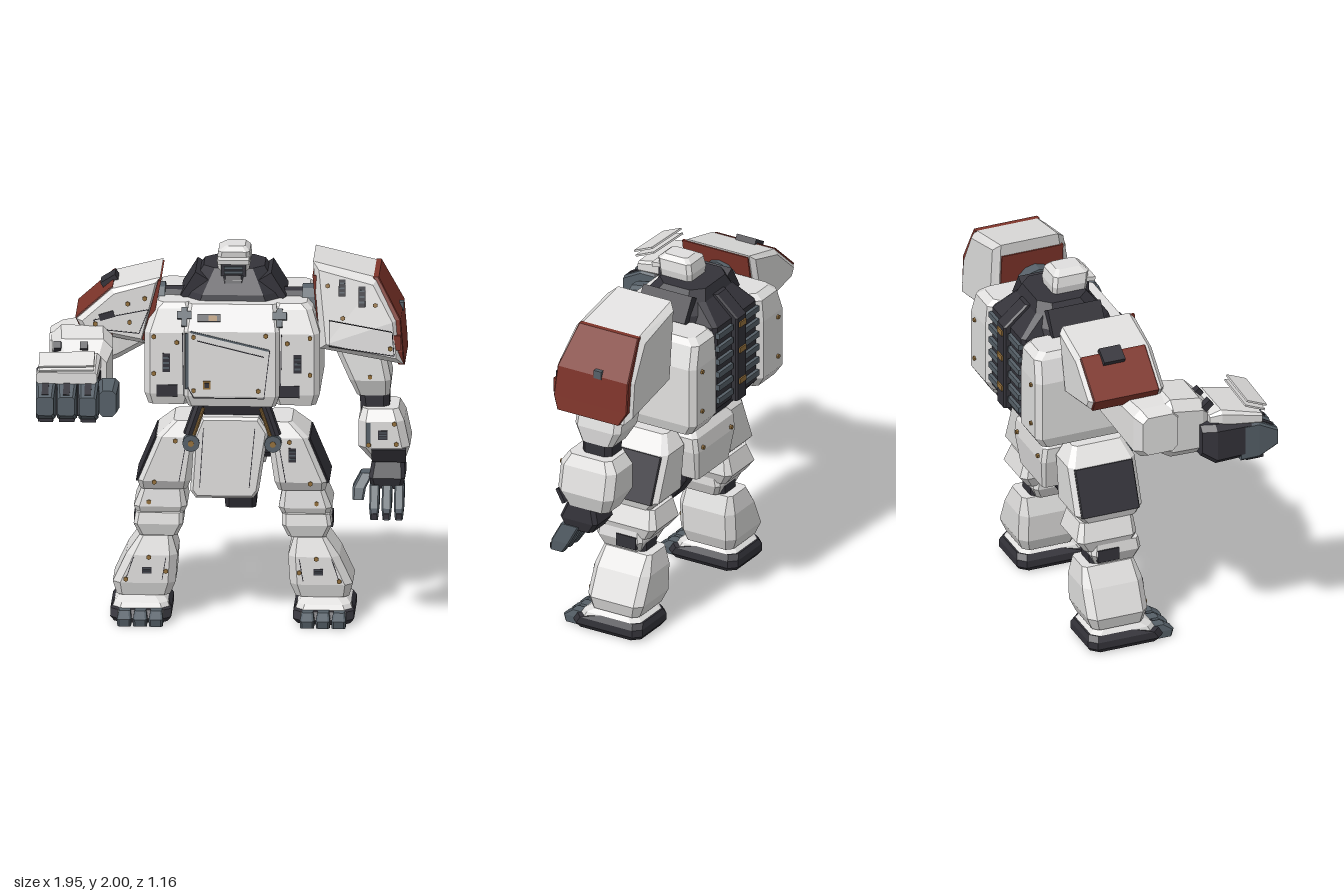
import * as THREE from 'three';

const mat = (name, color) => Object.assign(new THREE.MeshStandardMaterial({ color }), { name });
const white = mat('off white armour', 0xe0dfde), dark = mat('dark frame', 0x34333a);
const steel = mat('blue grey steel', 0x566068), red = mat('brick red', 0x7e342a), gold = mat('brass', 0x94703c);

function add(parent, name, geo, material) {
  const g = geo.index ? geo.toNonIndexed() : geo;
  g.computeVertexNormals(); // faceted look
  const m = new THREE.Mesh(g, material);
  m.name = name;
  parent.add(m);
  return m;
}

// Chamfered box sections [t, a0, a1, b0, b1, chamfer] joined along an axis.
// y: a = x, b = z;  z: a = x, b = y;  x: a = y, b = z.  s = -1 mirrors x on the y axis.
function loft(parent, name, material, axis, secs, s = 1) {
  const pos = [], idx = [], n = 8;
  for (const [t, p, q, r, u, c] of secs) {
    const a0 = Math.min(p * s, q * s), a1 = Math.max(p * s, q * s), b0 = Math.min(r, u), b1 = Math.max(r, u);
    const loop = [[a0 + c, b0], [a1 - c, b0], [a1, b0 + c], [a1, b1 - c], [a1 - c, b1], [a0 + c, b1], [a0, b1 - c], [a0, b0 + c]];
    for (const [a, b] of loop) pos.push(...(axis === 'y' ? [a, t, b] : axis === 'z' ? [a, b, t] : [t, a, b]));
  }
  const flip = axis === 'y', tri = (a, b, c) => (flip ? idx.push(a, c, b) : idx.push(a, b, c));
  for (let k = 0; k < secs.length - 1; k++) for (let i = 0; i < n; i++) {
    const a = k * n + i, b = k * n + (i + 1) % n;
    tri(a, b, b + n); tri(a, b + n, a + n);
  }
  const top = (secs.length - 1) * n;
  for (let i = 1; i < n - 1; i++) { tri(0, i + 1, i); tri(top, top + i, top + i + 1); }
  const g = new THREE.BufferGeometry();
  g.setAttribute('position', new THREE.Float32BufferAttribute(pos, 3));
  g.setIndex(idx);
  return add(parent, name, g, material);
}

// Front outline pushed from z0 to z1 with a bevelled rim; above leanY the front leans back
function prism(parent, name, material, pts, z0, z1, b = 0.02, leanY = Infinity) {
  const g = new THREE.ExtrudeGeometry(new THREE.Shape(pts.map(p => new THREE.Vector2(...p))), {
    depth: z1 - z0 - 2 * b, bevelEnabled: b > 0, bevelSize: b, bevelOffset: -b, bevelThickness: b, bevelSegments: 1,
  }).translate(0, 0, z0 + b);
  const p = g.attributes.position, mid = (z0 + z1) / 2;
  for (let i = 0; i < p.count; i++)
    if (p.getZ(i) > mid && p.getY(i) > leanY) p.setZ(i, p.getZ(i) - 0.25 * (p.getY(i) - leanY));
  return add(parent, name, g, material);
}

function box(parent, name, material, x, y, z, w, h, d, rot = [0, 0, 0]) {
  const m = add(parent, name, new THREE.BoxGeometry(w, h, d), material);
  m.position.set(x, y, z);
  m.rotation.set(...rot);
  return m;
}

function rod(parent, name, material, a, b, r, sides = 8) {
  const A = new THREE.Vector3(...a), B = new THREE.Vector3(...b), d = B.clone().sub(A);
  const m = add(parent, name, new THREE.CylinderGeometry(r, r, d.length(), sides), material);
  m.position.copy(A.add(B).multiplyScalar(0.5));
  m.quaternion.setFromUnitVectors(new THREE.Vector3(0, 1, 0), d.normalize());
}

const bolts = (p, z, list) => list.forEach(([x, y]) => rod(p, 'bolt', gold, [x, y, z - 0.01], [x, y, z + 0.008], 0.013, 6));
const seams = (p, z, pts) => pts.slice(1).forEach(([x, y], i) => {
  const [a, b] = pts[i];
  box(p, 'panelSeam', dark, (a + x) / 2, (b + y) / 2, z, Math.hypot(x - a, y - b), 0.004, 0.005, [0, 0, Math.atan2(y - b, x - a)]);
});
function vent(p, x, y, z, w, h) {
  box(p, 'vent', dark, x, y, z, w, h, 0.008);
  for (let i = -1; i <= 1; i++) box(p, 'ventSlat', steel, x, y + i * h * 0.27, z + 0.005, w * 0.8, h * 0.09, 0.006);
}

function buildTorso(p) {
  loft(p, 'chest', white, 'y', [[1.19, -0.23, 0.23, -0.4, 0.09, 0.02], [1.25, -0.25, 0.25, -0.4, 0.11, 0.02], [1.6, -0.25, 0.25, -0.4, 0.11, 0.02], [1.73, -0.23, 0.23, -0.4, 0.03, 0.02]]);
  seams(p, 0.112, [[-0.22, 1.6], [0.2, 1.5], [0.17, 1.24], [-0.2, 1.24], [-0.23, 1.3]]);
  seams(p, 0.112, [[-0.18, 1.55], [0.17, 1.465]]);
  box(p, 'chestFlapEdge', steel, -0.235, 1.44, 0.108, 0.018, 0.3, 0.012);
  box(p, 'chestFlapLip', steel, -0.01, 1.55, 0.111, 0.42, 0.01, 0.008, [0, 0, -0.233]);
  box(p, 'chestLamp', dark, -0.12, 1.665, 0.073, 0.12, 0.04, 0.012, [-0.55, 0, 0]);
  box(p, 'chestLampCore', gold, -0.1, 1.665, 0.08, 0.045, 0.028, 0.008, [-0.55, 0, 0]);
  box(p, 'chestPort', gold, -0.13, 1.31, 0.112, 0.04, 0.045, 0.008);
  box(p, 'chestPortCore', dark, -0.13, 1.31, 0.117, 0.025, 0.025, 0.008);
  bolts(p, 0.11, [[-0.2, 1.57], [0.18, 1.58], [0.14, 1.28], [-0.2, 1.28]]);
  for (const s of [-1, 1]) {
    loft(p, 'sidePod', white, 'y', [[1.19, 0.23, 0.44, -0.53, 0.05, 0.025], [1.25, 0.21, 0.46, -0.57, 0.07, 0.03], [1.58, 0.21, 0.46, -0.57, 0.07, 0.03], [1.7, 0.21, 0.42, -0.56, 0.02, 0.03], [1.73, 0.22, 0.39, -0.52, 0, 0.03]], s);
    seams(p, 0.071, [[s * 0.26, 1.58], [s * 0.255, 1.24]]);
    vent(p, s * 0.345, 1.42, 0.073, 0.04, 0.1);
    box(p, 'lowerIntake', dark, s < 0 ? -0.34 : 0.3, 1.268, 0.07, 0.11, 0.065, 0.012);
    bolts(p, 0.07, [[s * 0.41, 1.56], [s * 0.41, 1.36], [s * 0.29, 1.53]]);
    bolts(p, -0.57, [[s * 0.38, 1.55], [s * 0.38, 1.32]]);
    box(p, 'latch', steel, s * 0.25, 1.665, 0.058, 0.03, 0.1, 0.035, [-0.4, 0, 0]);
    box(p, 'latchHead', steel, s * 0.25, 1.675, 0.058, 0.075, 0.04, 0.035, [-0.4, 0, 0]);
    rod(p, 'shoulderJoint', dark, [s * 0.2, 1.68, -0.21], [s * 0.48, 1.68, -0.21], 0.085, 12);
    rod(p, 'shoulderRing', steel, [s * 0.36, 1.68, -0.21], [s * 0.45, 1.68, -0.21], 0.105, 12);
    box(p, 'collarBlock', dark, s * 0.2, 1.78, -0.25, 0.09, 0.15, 0.3, [0, 0, s * 0.55]);
  }
  // back: frame, cooling ribs and spine
  loft(p, 'backFrame', dark, 'y', [[1.1, -0.15, 0.15, -0.42, -0.2, 0.03], [1.25, -0.22, 0.22, -0.55, -0.2, 0.02], [1.72, -0.21, 0.21, -0.55, -0.2, 0.02], [1.82, -0.16, 0.16, -0.44, -0.2, 0.03]]);
  for (let i = 0; i < 6; i++) for (const s of [-1, 1])
    box(p, 'coolingRib', steel, s * 0.13, 1.3 + i * 0.075, -0.556, 0.14, 0.032, 0.025);
  loft(p, 'spine', dark, 'y', [[1.24, -0.05, 0.05, -0.585, -0.5, 0.01], [1.72, -0.05, 0.05, -0.585, -0.5, 0.01], [1.83, -0.05, 0.05, -0.46, -0.3, 0.01]]);
  for (const y of [1.35, 1.53, 1.68]) box(p, 'spineMark', gold, 0, y, -0.587, 0.06, 0.03, 0.012);
  loft(p, 'collar', dark, 'y', [[1.68, -0.25, 0.25, -0.46, -0.02, 0.06], [1.76, -0.24, 0.24, -0.46, -0.04, 0.08], [1.88, -0.16, 0.16, -0.42, -0.14, 0.06]]);
}

function buildHead(p) {
  loft(p, 'neck', dark, 'y', [[1.76, -0.07, 0.07, -0.28, -0.06, 0.02], [1.85, -0.06, 0.06, -0.28, -0.1, 0.02]]);
  loft(p, 'helmet', white, 'y', [[1.82, -0.07, 0.07, -0.31, -0.13, 0.015], [1.92, -0.09, 0.09, -0.32, -0.12, 0.02], [1.975, -0.08, 0.085, -0.31, -0.11, 0.02], [2, -0.04, 0.06, -0.28, -0.14, 0.015]]);
  box(p, 'faceRecess', dark, 0, 1.87, -0.125, 0.13, 0.09, 0.03);
  box(p, 'brow', white, 0, 1.93, -0.105, 0.165, 0.025, 0.05, [0.15, 0, 0]);
  for (const y of [1.84, 1.865, 1.89]) box(p, 'faceSlat', steel, 0, y, -0.112, 0.1, 0.014, 0.02);
  box(p, 'chin', white, 0, 1.818, -0.11, 0.09, 0.022, 0.04);
}

function buildHips(p) {
  loft(p, 'waist', dark, 'y', [[0.95, -0.14, 0.14, -0.36, -0.04, 0.04], [1.1, -0.17, 0.17, -0.38, -0.01, 0.04], [1.2, -0.23, 0.23, -0.44, 0.03, 0.04]]);
  prism(p, 'frontSkirt', white, [[-0.16, 1.12], [0.14, 1.12], [0.19, 1.04], [0.14, 0.72], [0.11, 0.68], [-0.19, 0.68], [-0.22, 0.72], [-0.2, 1.02]], -0.02, 0.06, 0.015);
  seams(p, 0.061, [[-0.15, 1.06], [-0.17, 0.74]]);
  seams(p, 0.061, [[0.12, 1.06], [0.09, 0.74]]);
  loft(p, 'rearSkirt', white, 'y', [[0.78, -0.16, 0.16, -0.41, -0.3, 0.015], [0.95, -0.2, 0.2, -0.43, -0.25, 0.02], [1.03, -0.2, 0.2, -0.42, -0.25, 0.02], [1.07, -0.17, 0.17, -0.39, -0.25, 0.02]]);
  bolts(p, -0.43, [[-0.14, 0.97], [0.14, 0.97]]);
  loft(p, 'hipKeel', dark, 'y', [[0.6, -0.04, 0.12, -0.22, -0.06, 0.02], [0.72, -0.05, 0.13, -0.3, -0.02, 0.03], [0.98, -0.13, 0.13, -0.34, -0.02, 0.03]]);
  for (const s of [-1, 1]) {
    rod(p, 'hipDisc', steel, [s * 0.215, 0.98, 0], [s * 0.215, 0.98, 0.07], 0.045, 12);
    rod(p, 'hipDiscCap', gold, [s * 0.215, 0.98, 0.06], [s * 0.215, 0.98, 0.076], 0.016, 12);
    rod(p, 'hipPiston', gold, [s * 0.2, 1.02, 0.05], [s * 0.15, 1.17, 0.055], 0.009);
    rod(p, 'hipStrut', dark, [s * 0.23, 1.02, 0.025], [s * 0.17, 1.2, 0.03], 0.028);
    rod(p, 'hipJoint', dark, [s * 0.1, 0.95, -0.18], [s * 0.3, 0.95, -0.18], 0.1, 10);
  }
}

function buildLeg(p, s) {
  const L = (name, m, secs) => loft(p, name, m, 'y', secs, s);
  L('thigh', white, [[0.71, 0.24, 0.485, -0.31, -0.01, 0.02], [0.76, 0.22, 0.5, -0.36, 0.02, 0.03], [1, 0.185, 0.4, -0.36, 0.02, 0.03], [1.08, 0.19, 0.31, -0.3, -0.02, 0.02]]);
  L('thighSidePanel', dark, [[0.755, 0.45, 0.508, -0.335, -0.005, 0.005], [0.995, 0.35, 0.408, -0.335, -0.005, 0.005]]);
  seams(p, 0.021, [[s * 0.28, 0.76], [s * 0.24, 0.99]]);
  if (s > 0) vent(p, 0.315, 0.91, 0.022, 0.04, 0.075);
  bolts(p, 0.02, [[s * 0.41, 0.755], [s * 0.3, 0.98]]);
  L('kneeJoint', dark, [[0.42, 0.33, 0.47, -0.27, -0.07, 0.02], [0.73, 0.29, 0.45, -0.27, -0.06, 0.02]]);
  L('kneeGuard', white, [[0.545, 0.27, 0.5, -0.31, -0.05, 0.02], [0.61, 0.24, 0.52, -0.36, -0.02, 0.03], [0.71, 0.26, 0.48, -0.33, -0.03, 0.02]]);
  L('kneeLower', white, [[0.455, 0.29, 0.49, -0.25, -0.02, 0.02], [0.52, 0.26, 0.52, -0.28, 0, 0.02], [0.58, 0.26, 0.51, -0.27, -0.01, 0.02]]);
  box(p, 'kneeSideSlot', dark, s * 0.512, 0.515, -0.19, 0.02, 0.07, 0.12);
  bolts(p, -0.025, [[s * 0.44, 0.635]]);
  L('shin', white, [[0.13, 0.33, 0.61, -0.31, -0.02, 0.03], [0.2, 0.3, 0.63, -0.34, 0, 0.04], [0.35, 0.29, 0.56, -0.34, 0, 0.04], [0.45, 0.32, 0.49, -0.32, -0.03, 0.02]]);
  seams(p, 0.001, [[s * 0.35, 0.34], [s * 0.37, 0.22]]);
  seams(p, 0.001, [[s * 0.56, 0.22], [s * 0.52, 0.34]]);
  vent(p, s * 0.45, 0.27, 0.003, 0.05, 0.035);
  bolts(p, 0, [[s * 0.44, 0.34], [s * 0.56, 0.22], [s * 0.35, 0.265]]);
  L('ankle', dark, [[0.08, 0.38, 0.56, -0.25, -0.07, 0.03], [0.15, 0.38, 0.56, -0.25, -0.07, 0.03]]);
  L('footCollar', white, [[0.06, 0.325, 0.635, -0.325, 0.05, 0.04], [0.1, 0.34, 0.62, -0.32, 0.03, 0.04], [0.13, 0.37, 0.59, -0.28, -0.02, 0.04]]);
  L('sole', dark, [[0.003, 0.34, 0.62, -0.32, 0.07, 0.04], [0.03, 0.32, 0.64, -0.34, 0.085, 0.04], [0.07, 0.32, 0.64, -0.34, 0.06, 0.04], [0.1, 0.34, 0.62, -0.33, -0.05, 0.04]]);
  box(p, 'soleInset', white, s * 0.48, 0.003, -0.12, 0.15, 0.006, 0.28);
  for (let i = 0; i < 3; i++) {
    const x = 0.397 + i * 0.083;
    L('toe', steel, [[0, x - 0.036, x + 0.036, 0.02, 0.14, 0.01], [0.04, x - 0.037, x + 0.037, 0.02, 0.15, 0.01], [0.075, x - 0.03, x + 0.03, 0.02, 0.1, 0.01]]);
  }
}

function buildLeftArm(p) {
  prism(p, 'pauldron', white, [[0.46, 1.94], [0.8, 1.86], [0.915, 1.65], [0.935, 1.41], [0.5, 1.49]], -0.44, 0.04, 0.035, 1.6);
  loft(p, 'pauldronRedSide', red, 'y', [[1.405, 0.91, 0.945, -0.38, 0, 0.005], [1.48, 0.9, 0.938, -0.425, 0.025, 0.005], [1.65, 0.88, 0.924, -0.425, 0.01, 0.005], [1.865, 0.775, 0.806, -0.415, -0.05, 0.005]]);
  prism(p, 'pauldronInnerPanel', red, [[0.458, 1.87], [0.48, 1.87], [0.51, 1.53], [0.488, 1.53]], -0.4, -0.05, 0);
  box(p, 'sidePort', steel, 0.915, 1.66, -0.24, 0.03, 0.045, 0.045);
  box(p, 'frontHook', red, 0.905, 1.53, 0.025, 0.035, 0.08, 0.02);
  seams(p, 0.041, [[0.55, 1.65], [0.88, 1.59], [0.89, 1.46], [0.55, 1.51], [0.55, 1.65]]);
  bolts(p, 0.04, [[0.87, 1.5]]);
  const upper = new THREE.Group();
  upper.name = 'pauldronUpperDetails';
  upper.position.set(0, 1.6, 0.04);
  upper.rotation.x = -0.245;
  p.add(upper);
  vent(upper, 0.615, 0.22, 0.002, 0.035, 0.09);
  vent(upper, 0.72, 0.175, 0.002, 0.035, 0.11);
  bolts(upper, 0, [[0.54, 0.23], [0.79, 0.13], [0.62, 0.06]]);
  loft(p, 'upperArm', white, 'y', [[1.21, 0.69, 0.86, -0.28, -0.09, 0.02], [1.3, 0.65, 0.87, -0.33, -0.05, 0.03], [1.5, 0.56, 0.83, -0.33, -0.06, 0.03]]);
  bolts(p, -0.052, [[0.76, 1.32]]);
  loft(p, 'elbow', dark, 'y', [[1.12, 0.71, 0.86, -0.27, -0.09, 0.03], [1.23, 0.7, 0.86, -0.27, -0.09, 0.03]]);
  loft(p, 'forearm', white, 'y', [[0.86, 0.77, 0.94, -0.3, -0.05, 0.03], [0.95, 0.7, 0.97, -0.34, 0, 0.04], [1.09, 0.7, 0.94, -0.34, 0, 0.04], [1.15, 0.72, 0.91, -0.3, -0.04, 0.03]]);
  vent(p, 0.83, 1.02, 0.003, 0.05, 0.05);
  box(p, 'wristSlot', dark, 0.86, 0.905, -0.024, 0.18, 0.085, 0.02, [0.5, 0, 0]);
  box(p, 'forearmSlot', steel, 0.753, 1.02, 0, 0.025, 0.13, 0.008);
  bolts(p, 0, [[0.755, 0.965], [0.9, 0.97], [0.89, 1.08]]);
  loft(p, 'palm', dark, 'y', [[0.72, 0.77, 0.93, -0.2, -0.03, 0.02], [0.78, 0.755, 0.945, -0.24, -0.01, 0.02], [0.87, 0.77, 0.94, -0.22, -0.05, 0.02]]);
  for (let i = 0; i < 3; i++) {
    const x = 0.785 + i * 0.065;
    loft(p, 'finger', steel, 'y', [[0.57, x - 0.02, x + 0.02, -0.03, 0.05, 0.008], [0.63, x - 0.026, x + 0.026, -0.07, 0.04, 0.008], [0.74, x - 0.026, x + 0.026, -0.13, -0.02, 0.008]]);
    box(p, 'fingerTip', dark, x, 0.59, 0.045, 0.03, 0.03, 0.012);
  }
  loft(p, 'thumb', steel, 'y', [[0.67, 0.67, 0.73, -0.06, 0.02, 0.01], [0.73, 0.67, 0.74, -0.1, 0, 0.01], [0.8, 0.71, 0.78, -0.13, -0.04, 0.01]]);
}

function buildRightArm(p) {
  prism(p, 'pauldron', white, [[-0.34, 1.86], [-0.595, 1.795], [-0.78, 1.63], [-0.745, 1.565], [-0.42, 1.5]], -0.42, 0.01, 0.025);
  prism(p, 'pauldronRedSide', red, [[-0.59, 1.802], [-0.602, 1.797], [-0.787, 1.632], [-0.753, 1.565], [-0.73, 1.57], [-0.75, 1.625], [-0.59, 1.77]], -0.4, -0.03, 0.004);
  prism(p, 'pauldronInnerPanel', red, [[-0.334, 1.85], [-0.35, 1.85], [-0.435, 1.53], [-0.398, 1.51]], -0.39, 0.014, 0);
  box(p, 'lowerTrim', red, -0.64, 1.555, 0, 0.1, 0.02, 0.02, [0, 0, -0.2]);
  box(p, 'sidePort', dark, -0.61, 1.785, -0.23, 0.09, 0.05, 0.12, [0, 0, 0.55]);
  seams(p, 0.011, [[-0.4, 1.69], [-0.69, 1.63], [-0.66, 1.58], [-0.45, 1.56], [-0.4, 1.69]]);
  box(p, 'vent', dark, -0.62, 1.655, 0.013, 0.08, 0.035, 0.008, [0, 0, 0.3]);
  bolts(p, 0.01, [[-0.42, 1.75], [-0.51, 1.72], [-0.5, 1.62], [-0.68, 1.61]]);
  loft(p, 'upperArm', white, 'x', [[-0.92, 1.33, 1.55, -0.18, 0.02, 0.03], [-0.86, 1.3, 1.58, -0.21, 0.04, 0.04], [-0.56, 1.41, 1.62, -0.27, -0.03, 0.03], [-0.42, 1.48, 1.64, -0.27, -0.07, 0.03]]);
  loft(p, 'forearm', white, 'z', [[-0.12, -0.88, -0.66, 1.33, 1.52, 0.03], [0, -0.91, -0.59, 1.26, 1.6, 0.05], [0.17, -0.9, -0.58, 1.25, 1.57, 0.05], [0.24, -0.87, -0.61, 1.28, 1.5, 0.04]]);
  loft(p, 'palm', dark, 'z', [[0.15, -0.94, -0.66, 1.26, 1.44, 0.03], [0.22, -0.98, -0.64, 1.22, 1.45, 0.03], [0.42, -0.97, -0.65, 1.22, 1.44, 0.03]]);
  loft(p, 'handGuard', white, 'z', [[0.2, -0.92, -0.67, 1.42, 1.49, 0.01], [0.26, -0.95, -0.64, 1.42, 1.52, 0.02], [0.48, -0.97, -0.65, 1.41, 1.47, 0.012]]);
  for (const [i, y] of [1.51, 1.535].entries())
    box(p, 'knucklePlate', white, -0.81, y, 0.445 + i * 0.01, 0.29, 0.01, 0.12, [0.4, 0, 0.03]);
  for (const x of [-0.87, -0.73]) box(p, 'guardStrap', dark, x, 1.525, 0.19, 0.04, 0.09, 0.04, [0.9, 0, 0]);
  for (let i = 0; i < 3; i++) {
    const x = -0.92 + i * 0.112;
    loft(p, 'finger', steel, 'z', [[0.36, x - 0.052, x + 0.052, 1.21, 1.42, 0.012], [0.46, x - 0.052, x + 0.052, 1.21, 1.42, 0.012], [0.57, x - 0.045, x + 0.045, 1.26, 1.36, 0.012]]);
    box(p, 'knuckleInset', dark, x, 1.39, 0.515, 0.035, 0.008, 0.09, [0.5, 0, 0]);
    box(p, 'fingerTip', dark, x, 1.215, 0.44, 0.08, 0.02, 0.1);
  }
  loft(p, 'thumb', steel, 'z', [[0.24, -0.66, -0.56, 1.24, 1.37, 0.02], [0.32, -0.65, -0.54, 1.22, 1.4, 0.02], [0.47, -0.64, -0.55, 1.23, 1.37, 0.02]]);
}

export function createModel() {
  const model = new THREE.Group();
  model.name = 'armouredRobot';
  const part = (name, build, x = 0, ...args) => {
    const g = new THREE.Group();
    g.name = name;
    g.position.x = x;
    build(g, ...args);
    model.add(g);
  };
  const cx = 0.04; // body centre line
  part('torso', buildTorso, cx);
  part('head', buildHead, cx);
  part('hips', buildHips, cx);
  part('leftLeg', buildLeg, cx, 1);
  part('rightLeg', buildLeg, cx, -1);
  part('leftArm', buildLeftArm);
  part('rightArm', buildRightArm);
  return model;
}
